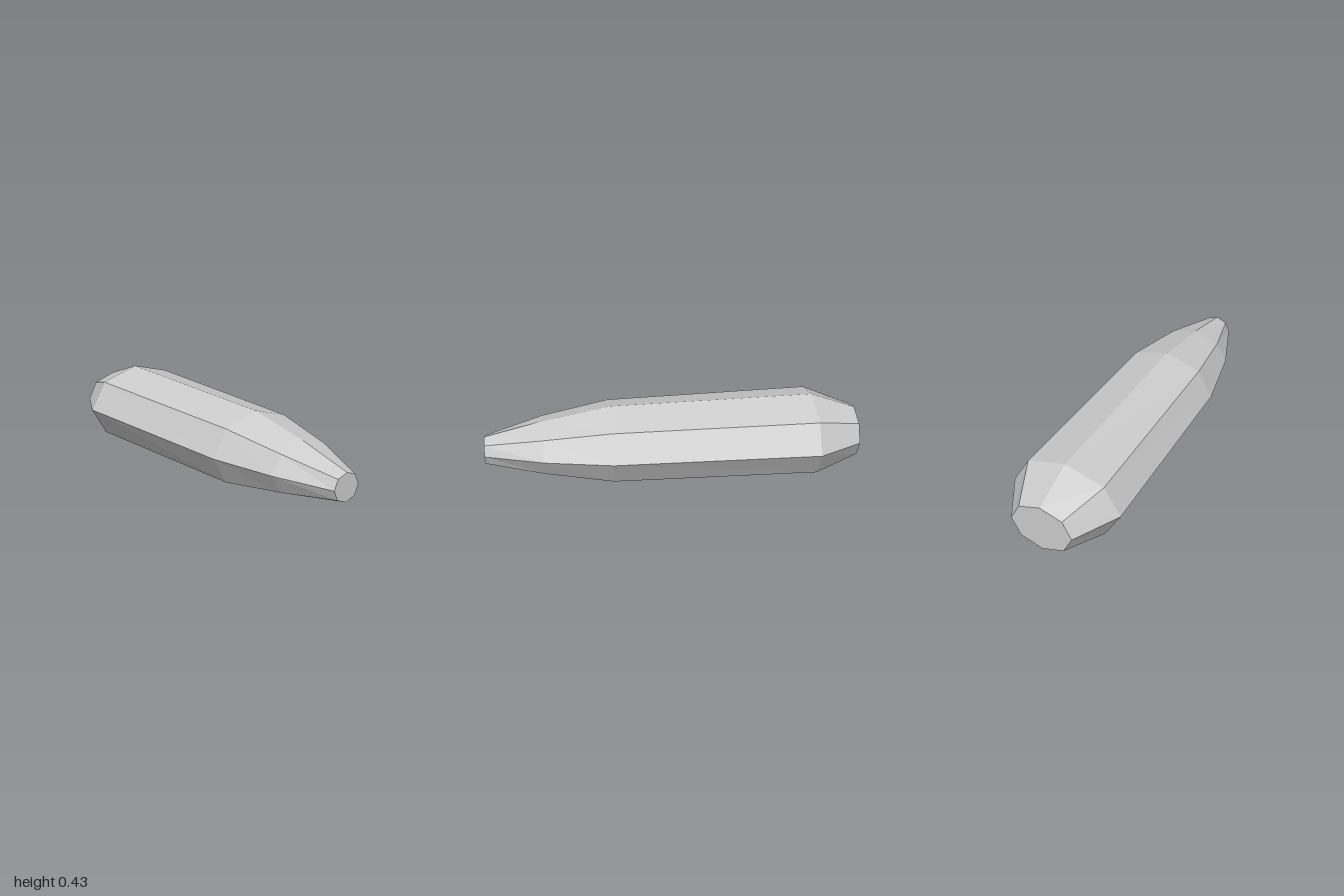
import * as THREE from 'three';

const SIDES = 8;

// Body sections from nose to tail: z, centre height, half width, half height
const SECTIONS = [
  [1.0, 0.2, 0.08, 0.076],
  [0.69, 0.212, 0.2, 0.141],
  [0.33, 0.215, 0.275, 0.204],
  [-0.76, 0.215, 0.303, 0.213],
  [-1.0, 0.203, 0.17, 0.132],
];

// Eight-sided elliptical ring, counter-clockwise seen from the front
function ring([z, cy, rx, ry]) {
  return Array.from({ length: SIDES }, (_, k) => {
    const a = (k / SIDES) * Math.PI * 2;
    return [rx * Math.cos(a), cy + ry * Math.sin(a), z];
  });
}

// Unshared corners give flat facets
function facets(triangles) {
  const geometry = new THREE.BufferGeometry();
  geometry.setAttribute('position', new THREE.Float32BufferAttribute(triangles.flat(2), 3));
  geometry.computeVertexNormals();
  return geometry;
}

// Flat end face as a fan
function cap(section, facingBack) {
  const points = ring(section);
  const centre = [0, section[1], section[0]];
  return facets(points.map((p, k) => {
    const q = points[(k + 1) % SIDES];
    return facingBack ? [centre, q, p] : [centre, p, q];
  }));
}

// Skin between neighbouring rings
function hull() {
  const rings = SECTIONS.map(ring);
  const triangles = [];
  for (let i = 0; i < rings.length - 1; i++) {
    for (let k = 0; k < SIDES; k++) {
      const n = (k + 1) % SIDES;
      const [a, b] = [rings[i], rings[i + 1]];
      triangles.push([a[k], b[k], a[n]], [a[n], b[k], b[n]]);
    }
  }
  return facets(triangles);
}

export function createModel() {
  const group = new THREE.Group();
  group.name = 'taperedBody';
  const grey = new THREE.MeshStandardMaterial({ color: 0xcccccc });
  grey.name = 'light grey';

  const add = (name, geometry) => {
    const mesh = new THREE.Mesh(geometry, grey);
    mesh.name = name;
    group.add(mesh);
  };
  add('hull', hull());
  add('noseFace', cap(SECTIONS[0], false));
  add('tailFace', cap(SECTIONS[SECTIONS.length - 1], true));
  return group;
}
